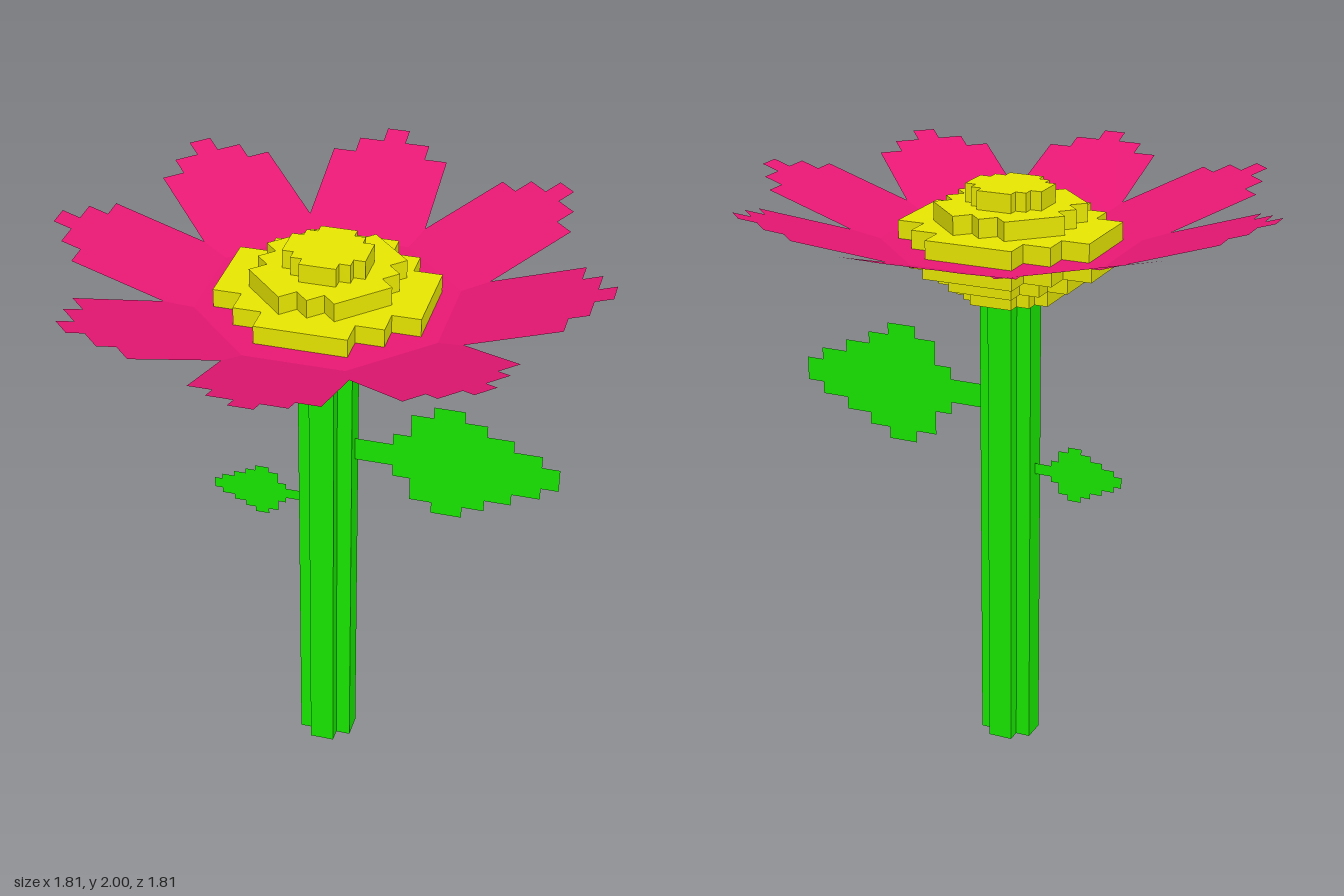
import * as THREE from 'three';

const stemGreen = new THREE.MeshStandardMaterial({ name: 'leaf green', color: 0x18e600, side: THREE.DoubleSide });
const petalPink = new THREE.MeshStandardMaterial({ name: 'petal pink', color: 0xec1876, side: THREE.DoubleSide });
const pollenYellow = new THREE.MeshStandardMaterial({ name: 'pollen yellow', color: 0xe6e500 });

function add(parent, name, geometry, material) {
  const mesh = new THREE.Mesh(geometry, material);
  mesh.name = name;
  parent.add(mesh);
  return mesh;
}

// Stepped outline from one quadrant of outer corners, mirrored to all four
function steppedShape(corners) {
  const quadrant = [];
  corners.forEach(([x, y], i) => {
    quadrant.push([x, y]);
    if (i < corners.length - 1) quadrant.push([corners[i + 1][0], y]);
  });
  const back = [...quadrant].reverse();
  const pts = [
    ...quadrant,
    ...back.map(([x, y]) => [-x, y]),
    ...quadrant.map(([x, y]) => [-x, -y]),
    ...back.map(([x, y]) => [x, -y]),
  ];
  return new THREE.Shape(pts.map(([x, y]) => new THREE.Vector2(x, y)));
}

// Stepped slab between two heights
function slab(corners, y0, y1) {
  const geo = new THREE.ExtrudeGeometry(steppedShape(corners), { depth: y1 - y0, bevelEnabled: false });
  return geo.rotateX(-Math.PI / 2).translate(0, y0, 0);
}

// Flat strip symmetric about the x axis: columns of [end x, half width]
function stripShape(columns) {
  const lower = [];
  let x = 0;
  for (const [end, half] of columns) {
    lower.push(new THREE.Vector2(x, -half), new THREE.Vector2(end, -half));
    x = end;
  }
  const upper = lower.map((p) => new THREE.Vector2(p.x, -p.y)).reverse();
  return new THREE.Shape([...lower, ...upper]);
}

export function createModel() {
  const flower = new THREE.Group();
  flower.name = 'flower';

  // Stem with a plus-shaped section
  add(flower, 'stem', slab([[0.092, 0.042], [0.042, 0.088]], 0, 1.625), stemGreen);

  // Flat leaves: the small one is a scaled, turned copy
  const leafGeo = new THREE.ShapeGeometry(stripShape([
    [0.13, 0.042], [0.19, 0.085], [0.265, 0.17], [0.37, 0.212],
    [0.445, 0.17], [0.535, 0.128], [0.63, 0.085], [0.69, 0.042],
  ]));
  add(flower, 'largeLeaf', leafGeo, stemGreen).position.set(0.092, 1.252, 0);
  const small = add(flower, 'smallLeaf', leafGeo, stemGreen);
  small.position.set(-0.092, 1.02, 0);
  small.rotation.y = Math.PI;
  small.scale.setScalar(0.456);

  // Petals: level near the centre, folded upward beyond the hinge radius
  const hinge = 0.395, petalY = 1.8135, tilt = Math.PI / 10;
  const reach = (r) => (r - hinge) / Math.cos(tilt);
  const bladeGeo = new THREE.ShapeGeometry(stripShape([
    [reach(0.784), 0.2], [reach(0.847), 0.123], [reach(0.905), 0.039],
  ]));
  bladeGeo.rotateX(-Math.PI / 2).rotateZ(tilt).translate(hinge, 0, 0);
  const baseGeo = new THREE.ShapeGeometry(stripShape([[hinge, 0.2]])).rotateX(-Math.PI / 2);
  for (let i = 0; i < 8; i++) {
    const petal = new THREE.Group();
    petal.name = `petal${i + 1}`;
    add(petal, 'petalBase', baseGeo, petalPink);
    add(petal, 'petalBlade', bladeGeo, petalPink);
    petal.position.y = petalY;
    petal.rotation.y = (i * Math.PI) / 4;
    flower.add(petal);
  }

  // Stacked stepped discs of the flower head: [name, scale, turn]
  const disc = [[0.337, 0.143], [0.243, 0.232], [0.15, 0.32]];
  const layers = [
    ['cupBottom', 0.485, 0], ['cupMiddle', 0.735, 0], ['cupTop', 1.03, 0],
    ['centreLower', 1, 0], ['centreMiddle', 0.685, Math.PI / 4], ['centreUpper', 0.4, 0],
  ];
  const step = 0.0625;
  layers.forEach(([name, k, turn], i) => {
    const y = 1.625 + i * step;
    const geo = slab(disc.map(([x, z]) => [x * k, z * k]), y, y + step);
    add(flower, name, geo, pollenYellow).rotation.y = turn;
  });

  return flower;
}
